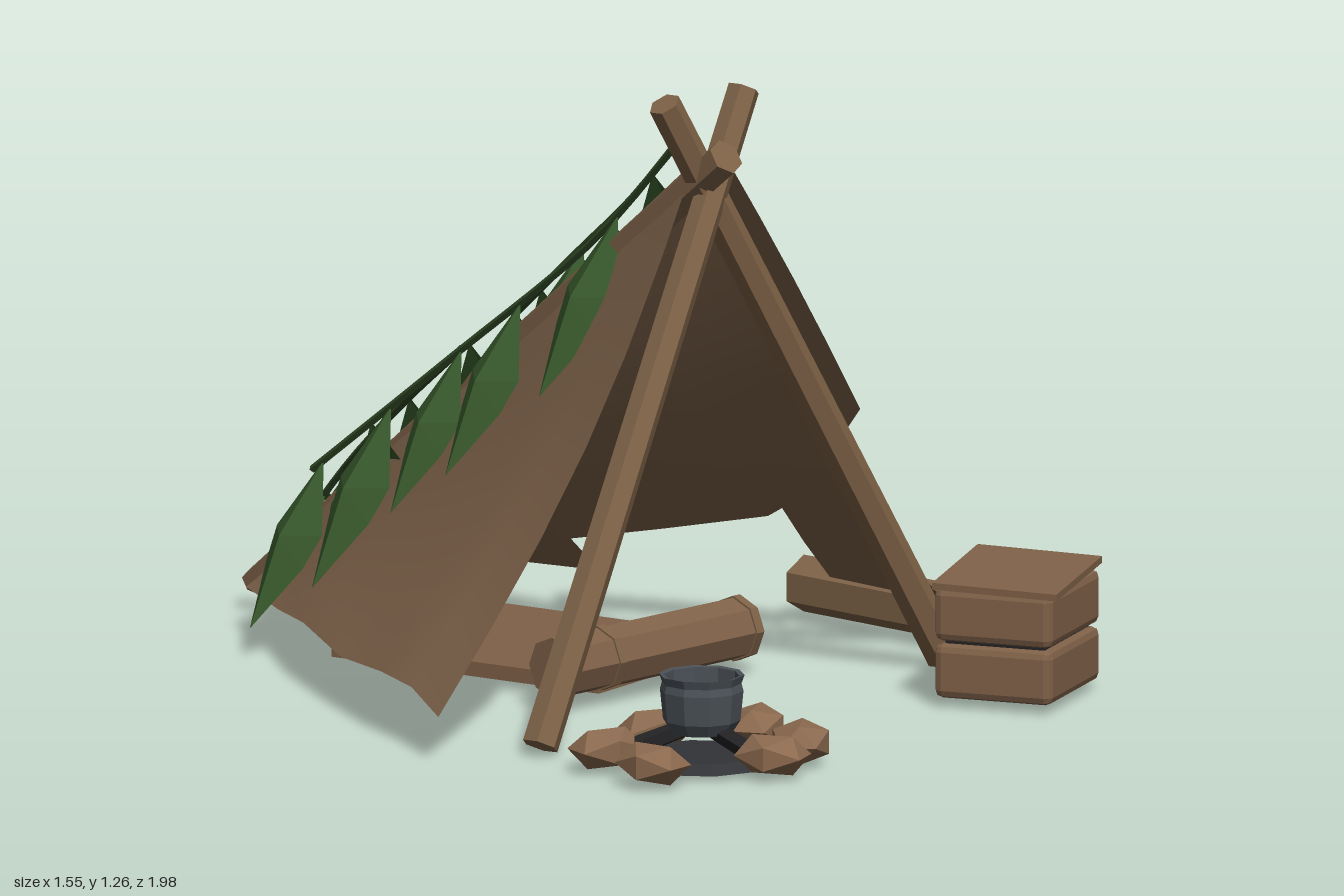
import * as THREE from 'three';
import { RoundedBoxGeometry } from 'three/addons/geometries/RoundedBoxGeometry.js';

const V = (x, y, z) => new THREE.Vector3(x, y, z);
const mat = (name, color, extra = {}) => {
  const m = new THREE.MeshStandardMaterial({ color, ...extra });
  m.name = name;
  return m;
};

export function createModel() {
  const root = new THREE.Group();
  root.name = 'shelterCamp';
  const flat = { flatShading: true };
  const both = { side: THREE.DoubleSide };
  const wood = mat('wood', 0x7e6247, flat);
  const canvas = mat('canvas', 0x7b6048, both);
  const hide = mat('hide', 0x7f6148, flat);
  const stone = mat('stone', 0x8a694e, flat);
  const iron = mat('iron', 0x4a5056, { ...flat, ...both });
  const ash = mat('ash', 0x323337, flat);
  const char = mat('charcoal', 0x222224, flat);
  const green = mat('leafGreen', 0x38592c, { ...flat, ...both });
  const vineGreen = mat('vineGreen', 0x2e4624, flat);

  const add = (name, geo, material, parent = root) => {
    const m = new THREE.Mesh(geo, material);
    m.name = name;
    parent.add(m);
    return m;
  };
  // straight pole between two points
  const stick = (name, a, b, r0, r1, material, sides = 6, parent = root) => {
    const d = b.clone().sub(a);
    const m = add(name, new THREE.CylinderGeometry(r1, r0, d.length(), sides), material, parent);
    m.position.copy(a).addScaledVector(d, 0.5);
    m.quaternion.setFromUnitVectors(V(0, 1, 0), d.normalize());
    return m;
  };
  // sheet from columns of [top point, bottom point], sagging inwards
  const cloth = (name, cols, sag, rows = 6) => {
    const pos = [], idx = [];
    cols.forEach(([t, b], c) => {
      for (let r = 0; r <= rows; r++) {
        const k = r / rows, p = V(...t).lerp(V(...b), k);
        const drop = sag * Math.sin(Math.PI * k) * Math.abs(b[0] - t[0]);
        pos.push(p.x - Math.sign(b[0]) * drop, p.y - drop * 0.5, p.z);
        if (c && r) {
          const i = c * (rows + 1) + r, j = i - rows - 1;
          idx.push(j - 1, j, i - 1, j, i, i - 1);
        }
      }
    });
    const g = new THREE.BufferGeometry();
    g.setAttribute('position', new THREE.Float32BufferAttribute(pos, 3));
    g.setIndex(idx);
    g.computeVertexNormals();
    return add(name, g, canvas);
  };

  // frame: crossed front poles and long ridge pole
  stick('frontPole', V(-0.585, 0.01, 0.435), V(0.085, 1.235, 0.36), 0.038, 0.033, wood);
  stick('frontPole', V(0.59, 0.01, 0.435), V(-0.135, 1.235, 0.35), 0.038, 0.033, wood);
  stick('ridgePole', V(-0.04, 1.125, 0.43), V(0.04, 0.045, -0.94), 0.038, 0.028, wood);
  const ridgeY = (z) => 1.12 - 0.79 * (0.42 - z);
  const ridgeX = (z) => -0.016 - 0.058 * z;
  // canvas lies over the ridge in front and parts beside it further back
  const apex = (z, side) => [
    ridgeX(z) + side * THREE.MathUtils.clamp(-0.07 * (z + 0.22), 0, 0.022), ridgeY(z) + 0.036 + 0.03 * z, z];

  // complete side of the canvas
  cloth('leftCanvas', [
    [0.34, -0.78, 0.085], [0.2, -0.71, 0.115], [0.07, -0.66, 0.12], [-0.15, -0.545, 0.1],
    [-0.38, -0.41, 0.115], [-0.6, -0.25, 0.085], [-0.81, -0.12, 0.08],
  ].map(([z, x, y]) => [apex(z, -1), [x, y, z]]), 0.075);

  // torn side: short middle, longer back, loose lower piece and peeled flap
  cloth('rightCanvasMiddle', [
    [apex(0.33, 1), [0.42, 0.4, 0.33]],
    [apex(0.11, 1), [0.42, 0.275, 0.11]],
    [apex(-0.12, 1), [0.36, 0.225, -0.12]],
    [apex(-0.34, 1), [0.3, 0.18, -0.34]],
  ], 0.05);
  cloth('rightCanvasBack', [
    [apex(-0.34, 1), [0.41, 0.1, -0.34]],
    [apex(-0.55, 1), [0.31, 0.11, -0.56]],
    [apex(-0.8, 1), [0.2, 0.08, -0.78]],
  ], 0.05);
  cloth('rightCanvasLower', [
    [[0.4, 0.41, 0.33], [0.7, 0.09, 0.33]],
    [[0.4, 0.38, 0.1], [0.61, 0.12, 0.1]],
  ], 0.03, 3);
  cloth('peeledFlap', [
    [[0.06, 1.1, 0.33], [0.455, 0.52, 0.33]],
    [[0.225, 0.9, 0.11], [0.585, 0.36, 0.11]],
  ], -0.015, 4);

  // climbing vines with folded leaves
  const leafGeo = new THREE.BufferGeometry();
  leafGeo.setAttribute('position', new THREE.Float32BufferAttribute([
    0, 0, 0, -0.21, -0.4, -0.04, -0.17, -0.6, -0.04, 0, -1, 0,
    0.17, -0.6, -0.04, 0.21, -0.4, -0.04, 0, -0.48, 0.07,
  ], 3));
  leafGeo.setIndex([0, 1, 6, 1, 2, 6, 2, 3, 6, 3, 4, 6, 4, 5, 6, 5, 0, 6]);
  leafGeo.computeVertexNormals();
  const leaf = (parent, p, side, size) => {
    const m = add('leaf', leafGeo, green, parent);
    // leaves near the ground are shorter and lie flatter
    const len = size * Math.min(1, 0.38 + 1.6 * p.y);
    const drop = Math.max(0.05, Math.min(0.85, (p.y - 0.06) / len));
    const down = V(side * Math.max(0.48, 1 - drop), -drop, -0.08).normalize();
    const across = V(0, -0.35, -0.94).multiplyScalar(side);
    const y = down.clone().negate();
    const z = across.clone().cross(y).normalize();
    const x = y.clone().cross(z);
    m.quaternion.setFromRotationMatrix(new THREE.Matrix4().makeBasis(x, y, z));
    m.position.copy(p);
    m.scale.setScalar(len);
  };
  const lift = (x, z, h) => V(x, Math.max(0.03, ridgeY(z) + h), z);
  [
    // stem points as [x, z, lift], then leaves as [along, side]
    { pts: [[-0.02, 0.28, 0.12], [-0.02, 0.05, 0.07], [-0.07, -0.3, 0.06], [-0.13, -0.62, 0.05]],
      leaves: [[0.2, -1], [0.47, -1], [0.62, -1], [0.8, -1], [0.97, -1], [0.6, 1], [0.85, 1]] },
    { pts: [[-0.01, 0.28, 0.13], [0.03, 0.1, 0.11], [0.1, -0.1, 0.13], [0.16, -0.34, 0.14]],
      leaves: [[0.17, 1], [0.43, 1], [0.64, 1], [0.85, 1], [0.99, 1], [0.6, -1]] },
    { pts: [[0.02, -0.35, 0.1], [0.06, -0.55, 0.11], [0.1, -0.75, 0.1], [0.12, -0.94, 0.04]],
      leaves: [[0.28, 1], [0.5, 1], [0.74, 1], [0.98, 1], [0.45, -1], [0.75, -1]] },
  ].forEach(({ pts, leaves }) => {
    const vine = new THREE.Group();
    vine.name = 'vine';
    root.add(vine);
    const curve = new THREE.CatmullRomCurve3(pts.map((p) => lift(...p)));
    add('vineStem', new THREE.TubeGeometry(curve, 14, 0.008, 4), vineGreen, vine);
    leaves.forEach(([t, side], i) => leaf(vine, curve.getPointAt(t), side, 0.4 - 0.02 * (i % 3)));
  });

  // sleeping mat, bedroll with straps, log
  const mattress = add('sleepingMat', new THREE.BoxGeometry(0.5, 0.03, 0.64), hide);
  mattress.position.set(0.05, 0.025, -0.18);
  mattress.rotation.y = 0.17;
  stick('bedroll', V(-0.27, 0.08, 0.17), V(0.28, 0.08, 0.17), 0.063, 0.063, hide, 8);
  [-0.13, 0.265].forEach((x) =>
    stick('bedrollStrap', V(x - 0.01, 0.08, 0.17), V(x + 0.01, 0.08, 0.17), 0.067, 0.067, wood, 8));
  stick('log', V(0.72, 0.065, -0.075), V(0.72, 0.065, 0.33), 0.058, 0.058, wood, 6);

  // chest in two stacked halves with a tilted lid
  const chest = new THREE.Group();
  chest.name = 'chest';
  chest.position.set(0.465, 0, 0.75);
  chest.rotation.y = 0.4;
  root.add(chest);
  [0.065, 0.181].forEach((y) =>
    add('chestHalf', new RoundedBoxGeometry(0.29, 0.11, 0.25, 1, 0.016), hide, chest).position.y = y);
  add('chestCore', new THREE.BoxGeometry(0.25, 0.06, 0.21), char, chest).position.y = 0.123;
  const lid = add('chestLid', new THREE.BoxGeometry(0.3, 0.014, 0.26), hide, chest);
  lid.position.y = 0.246;
  lid.rotation.set(0.03, 0.05, 0.06);

  // fire ring with charred logs and open pot
  const fire = new THREE.Group();
  fire.name = 'campfire';
  fire.position.set(-0.45, 0, 0.75);
  root.add(fire);
  add('ashBed', new THREE.CylinderGeometry(0.12, 0.14, 0.02, 10), ash, fire).position.y = 0.012;
  [[0.0, 0.16], [0.15, -0.07], [-0.13, -0.08]].forEach(([x, z]) =>
    stick('charredLog', V(x, 0.035, z), V(0, 0.085, 0), 0.022, 0.018, char, 5, fire));
  const pot = [[0.062, 0.065], [0.078, 0.09], [0.084, 0.15], [0.08, 0.165], [0.086, 0.182], [0.076, 0.18], [0.072, 0.09]];
  add('cookingPot', new THREE.LatheGeometry(pot.map((p) => new THREE.Vector2(...p)), 10), iron, fire);
  [[0.04, -0.165], [-0.16, -0.11], [-0.205, 0.06], [0.02, 0.175], [0.15, 0.13], [0.2, -0.04]].forEach(([x, z], i) => {
    const s = add('ringStone', new THREE.IcosahedronGeometry(1, 0), stone, fire);
    s.scale.set(0.082, 0.046, 0.066);
    s.rotation.y = -Math.atan2(z, x) + (i % 2 ? 0.3 : 1.4);
    s.position.set(x, 0.04, z);
  });
  return root;
}
